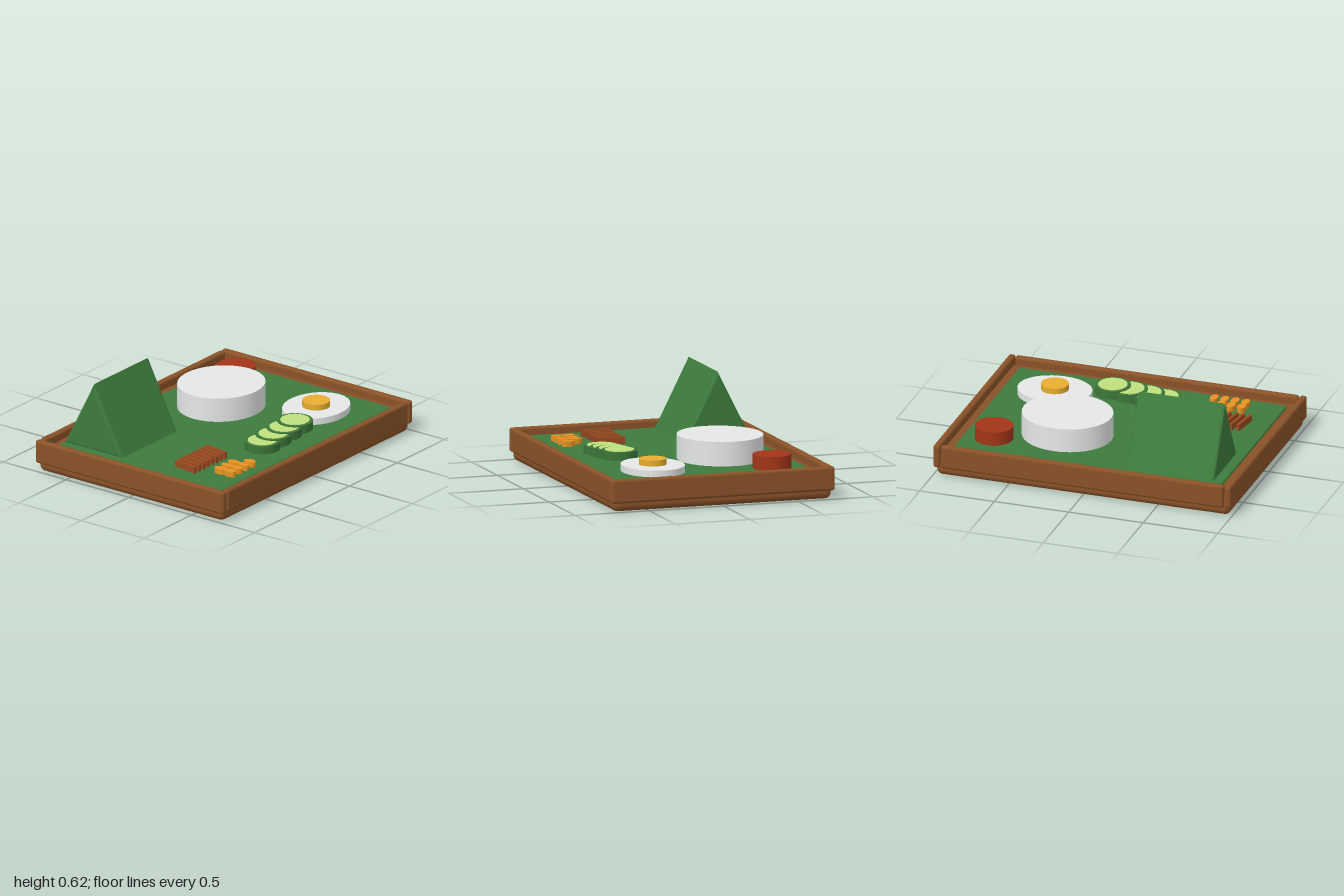
import * as THREE from 'three';
import { RoundedBoxGeometry } from 'three/addons/geometries/RoundedBoxGeometry.js';

const mat = (name, color, flatShading = false) => {
  const m = new THREE.MeshStandardMaterial({ color, flatShading });
  m.name = name;
  return m;
};

export function createModel() {
  const wood = mat('wood', 0x8a5228);
  const leaf = mat('leaf green', 0x3d7b3d);
  const rice = mat('white', 0xf2f4f4);
  const red = mat('red', 0xa23518);
  const yellow = mat('yolk yellow', 0xf5b834);
  const rind = mat('rind green', 0x3b7638);
  const flesh = mat('pale green', 0xbfe07d);
  const orange = mat('orange', 0xfa9f26);
  const brown = mat('stick brown', 0x9a4a20);

  const model = new THREE.Group();
  model.name = 'foodTray';
  const floor = 0.17; // top of the leaf lining

  const add = (name, geometry, material, x, y, z, parent = model) => {
    const mesh = new THREE.Mesh(geometry, material);
    mesh.name = name;
    mesh.position.set(x, y, z);
    parent.add(mesh);
    return mesh;
  };
  const group = (name) => {
    const g = new THREE.Group();
    g.name = name;
    model.add(g);
    return g;
  };
  // upright elliptical disc from y0 to y1
  const disc = (name, material, x, z, rx, rz, y0, y1, sides = 32, parent = model) => {
    const g = new THREE.CylinderGeometry(1, 1, y1 - y0, sides);
    g.scale(rx, 1, rz);
    return add(name, g, material, x, (y0 + y1) / 2, z, parent);
  };

  // Tray: base, four rails and the leaf lining
  add('trayBase', new RoundedBoxGeometry(1.97, 0.155, 1.47, 3, 0.04), wood, 0, 0.0775, 0);
  for (const s of [-1, 1]) {
    add('sideRail', new RoundedBoxGeometry(0.046, 0.155, 1.5, 3, 0.018), wood, s * 0.977, 0.1325, 0);
    add(s > 0 ? 'frontRail' : 'backRail',
      new RoundedBoxGeometry(1.9, 0.155, 0.046, 3, 0.018), wood, 0, 0.1325, s * 0.727);
  }
  add('leafLining', new RoundedBoxGeometry(1.8, 0.04, 1.3, 2, 0.01), leaf, 0, floor - 0.02, 0);

  // Wedge-shaped leaf parcel with bevelled edges
  const tri = new THREE.Shape();
  tri.moveTo(-0.205, 0.19);
  tri.lineTo(0.205, 0.19);
  tri.lineTo(0, 0.596);
  tri.closePath();
  const wedge = new THREE.ExtrudeGeometry(tri, {
    depth: 0.546, bevelEnabled: true, bevelSize: 0.02, bevelThickness: 0.02, bevelSegments: 3,
  });
  wedge.rotateY(Math.PI / 2);
  add('leafParcel', wedge, leaf, -0.826, 0, -0.402);

  // Rice mound and red sauce
  disc('riceMound', rice, 0.273, -0.228, 0.294, 0.273, floor - 0.005, 0.328, 36);
  disc('redSauce', red, 0.697, -0.43, 0.123, 0.123, floor - 0.005, 0.261);

  // Fried egg
  const egg = group('friedEgg');
  disc('eggWhite', rice, 0.547, 0.32, 0.243, 0.2, floor - 0.005, 0.213, 36, egg);
  disc('eggYolk', yellow, 0.547, 0.32, 0.089, 0.089, 0.205, 0.251, 28, egg);

  // Overlapping cucumber slices, each a little higher than the last
  const slices = group('cucumberSlices');
  for (let i = 0; i < 4; i++) {
    const x = -0.15 + i * 0.114, top = 0.222 + i * 0.01;
    disc('sliceRind', rind, x, 0.42, 0.115, 0.115, top - 0.055, top, 28, slices);
    disc('sliceFlesh', flesh, x, 0.42, 0.094, 0.094, top - 0.002, top + 0.004, 28, slices);
  }

  // Row of small slanted sticks
  const sticks = group('smallSticks');
  for (let i = 0; i < 8; i++) {
    const stick = add('stick', new THREE.BoxGeometry(0.019, 0.045, 0.178), brown,
      -0.744 + i * 0.0455, 0.191, 0.26, sticks);
    stick.rotation.y = -0.15;
  }

  // Two rows of oval peanuts
  const nuts = group('peanuts');
  for (let i = 0; i < 7; i++) {
    const row = i < 4 ? 0 : 1;
    disc('peanut', orange, -0.655 + (i - row * 4) * 0.07, row ? 0.468 : 0.543,
      0.026, 0.043, floor - 0.005, 0.205, 14, nuts);
  }

  return model;
}
